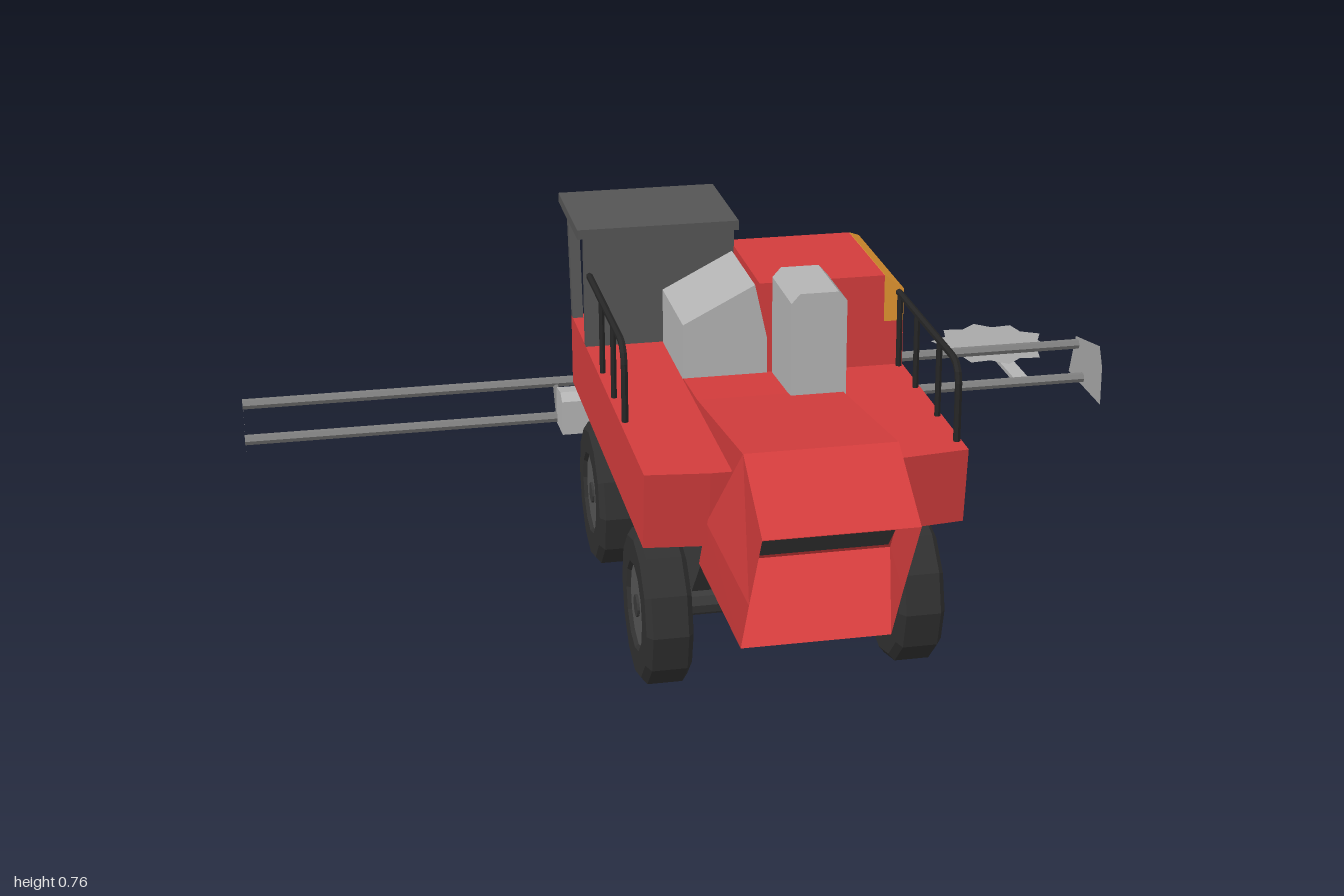
import * as THREE from 'three';

const mat = (color, side = THREE.FrontSide) =>
  new THREE.MeshStandardMaterial({ color, side, flatShading: true });
const RED = mat(0xd23c3c), OPEN_RED = mat(0xd23c3c, THREE.DoubleSide), DARK = mat(0x3a3a3a);
const TYRE = mat(0x303030), CAB = mat(0x555555), ORANGE = mat(0xe09530);
const GREY = mat(0xb4b4b4), ROD = mat(0x808080), RAIL = mat(0x262626);
const SHEET = mat(0xa8a8a8, THREE.DoubleSide);

// Skin between rings of [x, y, z], each counter-clockwise as seen from the last ring's end
function loft(rings, capStart = true, capEnd = true) {
  const pos = [], tri = (...p) => p.forEach(v => pos.push(...v));
  const n = rings[0].length;
  for (let k = 0; k + 1 < rings.length; k++) {
    const a = rings[k], b = rings[k + 1];
    for (let i = 0; i < n; i++) {
      const j = (i + 1) % n;
      tri(a[i], a[j], b[j]);
      tri(a[i], b[j], b[i]);
    }
  }
  const first = rings[0], last = rings[rings.length - 1];
  for (let i = 1; i + 1 < n; i++) {
    if (capStart) tri(first[0], first[i + 1], first[i]);
    if (capEnd) tri(last[0], last[i], last[i + 1]);
  }
  const g = new THREE.BufferGeometry();
  g.setAttribute('position', new THREE.Float32BufferAttribute(pos, 3));
  g.computeVertexNormals();
  return g;
}

// Horizontal and upright rectangles used as loft rings
const flat = (y, x0, x1, z0, z1) => [[x0, y, z1], [x1, y, z1], [x1, y, z0], [x0, y, z0]];
const upright = (z, w, y0, y1) => [[-w, y0, z], [w, y0, z], [w, y1, z], [-w, y1, z]];
const shapeOf = pts => new THREE.Shape(pts.map(p => new THREE.Vector2(...p)));

// Side profile of [z, y] points extruded from x0 to x1
function sideProfile(pts, x0, x1) {
  return new THREE.ExtrudeGeometry(shapeOf(pts), { depth: x1 - x0, bevelEnabled: false })
    .rotateY(-Math.PI / 2).translate(x1, 0, 0);
}

// Rod between two points
function rod(a, b, r, sides = 6) {
  const path = new THREE.LineCurve3(new THREE.Vector3(...a), new THREE.Vector3(...b));
  return new THREE.TubeGeometry(path, 1, r, sides);
}

function makeWheel(side) {
  const wheel = new THREE.Group();
  wheel.name = 'wheel';
  const part = (name, geo, m) => {
    const mesh = new THREE.Mesh(geo.rotateZ(-side * Math.PI / 2), m);
    mesh.name = name;
    wheel.add(mesh);
  };
  const profile = [[0.08, -0.045], [0.138, -0.045], [0.152, -0.034], [0.152, 0.034], [0.138, 0.045], [0.088, 0.045], [0.08, 0.034]];
  part('tyre', new THREE.LatheGeometry(profile.map(p => new THREE.Vector2(...p)), 12), TYRE);
  part('rim', new THREE.CylinderGeometry(0.082, 0.082, 0.075, 12), CAB);
  part('hub', new THREE.CylinderGeometry(0.022, 0.022, 0.085, 10), DARK);
  return wheel;
}

export function createModel() {
  const model = new THREE.Group();
  const add = (name, geo, m) => {
    const mesh = new THREE.Mesh(geo, m);
    mesh.name = name;
    model.add(mesh);
    return mesh;
  };
  const box = (name, x0, x1, y0, y1, z0, z1, m) =>
    add(name, new THREE.BoxGeometry(x1 - x0, y1 - y0, z1 - z0)
      .translate((x0 + x1) / 2, (y0 + y1) / 2, (z0 + z1) / 2), m);

  // Chassis, wheels and axles
  add('chassis', sideProfile([[-0.03, 0.18], [0.54, 0.18], [0.7, 0.352], [-0.18, 0.352]], -0.18, 0.18), DARK);
  for (const z of [0.525, -0.035]) {
    add('axle', rod([-0.22, 0.155, z], [0.22, 0.155, z], 0.03, 10), DARK);
    for (const side of [-1, 1]) {
      const wheel = makeWheel(side);
      wheel.position.set(side * 0.245, 0.153, z);
      model.add(wheel);
    }
  }

  // Main body
  const bodyRing = (y, back) => [[-0.3, y, back - 0.015], [-0.18, y, back], [0.18, y, back],
    [0.31, y, back - 0.015], [0.31, y, -0.18], [-0.3, y, -0.18]];
  add('body', loft([bodyRing(0.352, 0.71), bodyRing(0.505, 0.73)]), RED);

  // Straw hood: rising top and an open spout
  add('hoodTop', sideProfile([[0.25, 0.4], [0.64, 0.286], [0.82, 0.576], [0.4, 0.518], [0.25, 0.508]], -0.14, 0.145), RED);
  const spoutRing = (w, bottom, mid, top) => [[-w, ...bottom], [w, ...bottom], [w, ...mid],
    [0.145, ...top], [-0.14, ...top], [-w, ...mid]];
  add('hoodSpout', loft([
    spoutRing(0.185, [0.285, 0.64], [0.4, 0.712], [0.577, 0.822]),
    spoutRing(0.142, [0.19, 0.815], [0.31, 0.885], [0.48, 0.982]),
  ], true, false), OPEN_RED);

  // Grain tank with coloured side panel and sloping grey cover
  add('tankLower', loft([flat(0.505, 0.015, 0.31, -0.04, 0.25), flat(0.598, 0.015, 0.31, -0.11, 0.25)]), RED);
  add('tankUpper', loft([
    flat(0.598, 0.015, 0.27, -0.11, 0.25),
    flat(0.665, 0.015, 0.27, -0.11, 0.25),
    flat(0.695, 0.015, 0.27, -0.04, 0.25),
  ]), RED);
  add('tankSidePanel', loft([
    flat(0.598, 0.27, 0.31, -0.11, 0.25),
    flat(0.665, 0.27, 0.31, -0.11, 0.25),
    flat(0.695, 0.27, 0.271, -0.04, 0.25),
  ]), ORANGE);
  const cover = shapeOf([[-0.14, 0.505], [0.03, 0.505], [0.03, 0.58], [0.005, 0.694], [-0.14, 0.62]]);
  add('tankCover', new THREE.ExtrudeGeometry(cover, { depth: 0.224, bevelEnabled: false }).translate(0, 0, 0.03), GREY);

  // Engine stack with chamfered top
  const stack = shapeOf([[0.04, 0.5], [0.15, 0.5], [0.15, 0.708], [0.133, 0.727], [0.057, 0.727], [0.04, 0.708]]);
  add('engineStack', new THREE.ExtrudeGeometry(stack, { depth: 0.167, bevelEnabled: false }).translate(0, 0, 0.253), GREY);

  // Cab: roof, back wall and leaning front posts
  box('cabRoof', -0.313, 0.02, 0.737, 0.757, -0.243, 0.028, CAB);
  box('cabBackWall', -0.3, 0.01, 0.5, 0.74, 0.005, 0.025, CAB);
  for (const x of [-0.3, -0.012])
    add('cabPost', sideProfile([[-0.178, 0.5], [-0.156, 0.5], [-0.195, 0.74], [-0.22, 0.74]], x, x + 0.022), CAB);

  // Hand rails with a rounded rear corner
  for (const [x, front, back, posts] of [[-0.29, 0.025, 0.45, [0.18, 0.32]], [0.3, 0.25, 0.67, [0.26, 0.385, 0.54]]]) {
    const v = (y, z) => new THREE.Vector3(x, y, z);
    const path = new THREE.CurvePath();
    path.add(new THREE.LineCurve3(v(0.5, back), v(0.61, back)));
    path.add(new THREE.QuadraticBezierCurve3(v(0.61, back), v(0.658, back), v(0.658, back - 0.045)));
    path.add(new THREE.LineCurve3(v(0.658, back - 0.045), v(0.658, front)));
    add('handRail', new THREE.TubeGeometry(path, 28, 0.007, 6), RAIL);
    for (const z of posts) add('railPost', rod([x, 0.5, z], [x, 0.658, z], 0.006), RAIL);
  }

  // Feeder house and neck
  add('feederHouse', loft([upright(-0.328, 0.145, 0.13, 0.255), upright(-0.15, 0.185, 0.165, 0.32)]), RED);
  add('feederNeck', loft([upright(-0.49, 0.115, 0.11, 0.185), upright(-0.32, 0.115, 0.148, 0.232)]), GREY);

  // Cutting header: centre box, long bars, struts and end plates
  add('headerBox', sideProfile([[-0.585, 0.102], [-0.475, 0.11], [-0.475, 0.19], [-0.5, 0.205], [-0.56, 0.195]], -0.285, 0.29), GREY);
  add('upperBar', rod([-1, 0.188, -0.615], [1, 0.188, -0.615], 0.012), ROD);
  add('lowerBar', rod([-1, 0.118, -0.57], [1, 0.118, -0.57], 0.012), ROD);
  for (const x of [-0.28, 0.28]) add('barStrut', rod([x, 0.118, -0.57], [x, 0.188, -0.615], 0.007), ROD);
  const plate = shapeOf([[-0.67, 0.097], [-0.442, 0.095], [-0.442, 0.19], [-0.465, 0.235], [-0.632, 0.202]]);
  for (const x of [-0.999, 0.999])
    add('endPlate', new THREE.ShapeGeometry(plate).rotateY(-Math.PI / 2).translate(x, 0, 0), SHEET);

  // Toothed disc on an arm
  box('discArm', 0.832, 0.868, 0.11, 0.12, -0.842, -0.58, GREY);
  const teeth = [];
  for (let i = 0; i < 20; i++) {
    const r = i % 2 ? 0.122 : 0.15, a = i * Math.PI / 10 + Math.PI / 2;
    teeth.push([r * Math.cos(a), r * Math.sin(a)]);
  }
  add('toothedDisc', new THREE.ShapeGeometry(shapeOf(teeth)).rotateX(-Math.PI / 2).translate(0.85, 0.121, -0.835), SHEET);

  return model;
}
